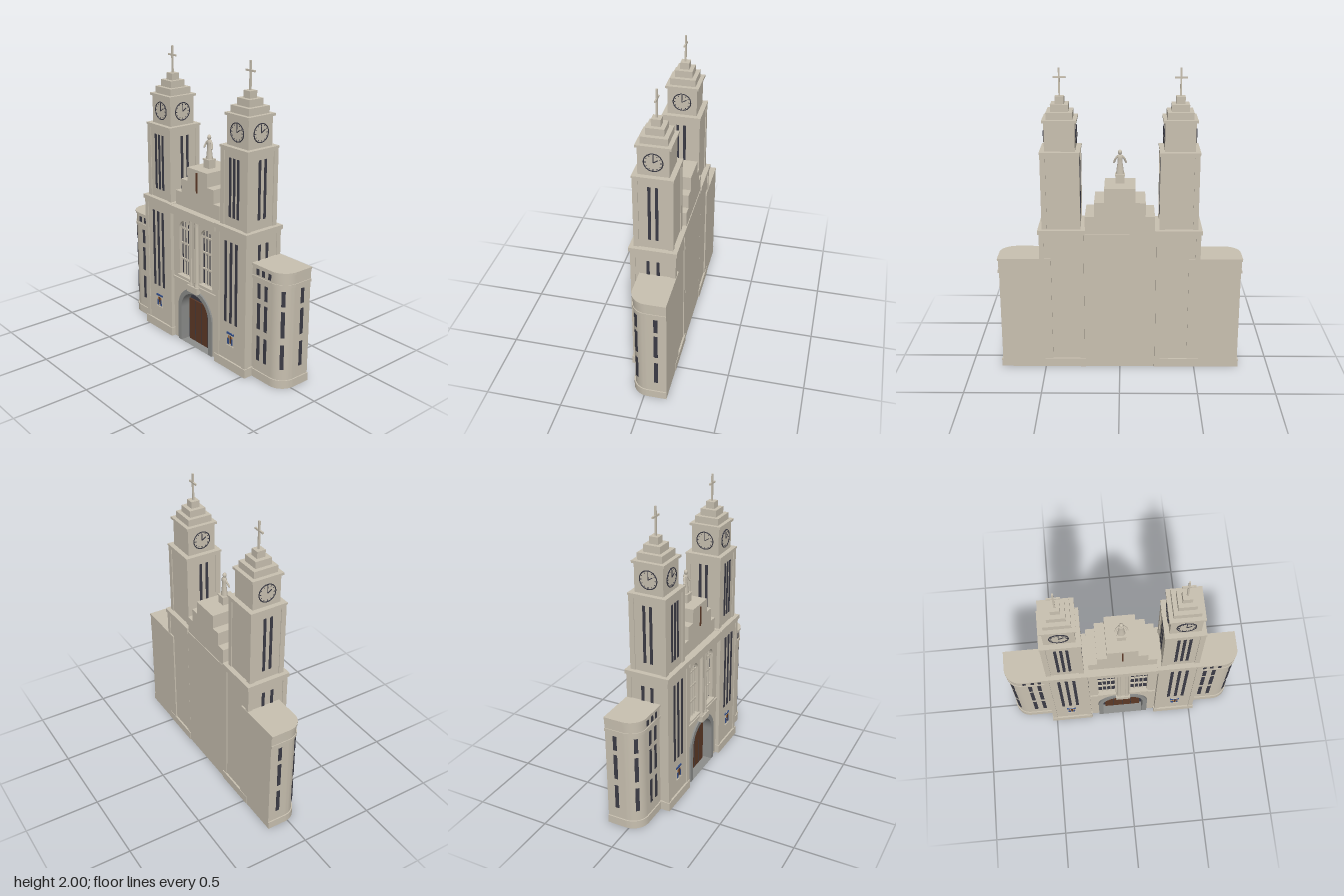
import * as THREE from 'three';
import { toCreasedNormals } from 'three/addons/utils/BufferGeometryUtils.js';

const mat = (name, color) => Object.assign(new THREE.MeshStandardMaterial({ color }), { name });
const stone = mat('stone', 0xc8c0b0), dark = mat('darkGlass', 0x3b3b45), wood = mat('doorWood', 0x5c3826);
const grey = mat('greyStone', 0x8c8d8b), blue = mat('mosaicBlue', 0x34508c), gold = mat('mosaicOchre', 0xa9713f);

function add(parent, name, geo, material, x = 0, y = 0, z = 0) {
  const m = new THREE.Mesh(geo, material);
  m.name = name;
  m.position.set(x, y, z);
  parent.add(m);
  return m;
}
// box given by its centre in x and z, and its bottom and top
const box = (p, name, w, y0, y1, d, x = 0, z = 0, material = stone) =>
  add(p, name, new THREE.BoxGeometry(w, y1 - y0, d), material, x, (y0 + y1) / 2, z);

function group(parent, name, x = 0, y = 0, z = 0, ry = 0) {
  const g = new THREE.Group();
  g.name = name;
  g.position.set(x, y, z);
  g.rotation.y = ry;
  parent.add(g);
  return g;
}
const extrude = (shape, depth) =>
  toCreasedNormals(new THREE.ExtrudeGeometry(shape, { depth, bevelEnabled: false, curveSegments: 20 }), 0.5);

// round-headed outline: half width r, foot y0, springing y1
function arch(path, x, r, y0, y1) {
  path.moveTo(x - r, y0);
  path.lineTo(x + r, y0);
  path.lineTo(x + r, y1);
  path.absarc(x, y1, r, 0, Math.PI, false);
  path.lineTo(x - r, y0);
  return path;
}

// shaft with raised corner strips and a band at the top
function panelledShaft(p, name, w, d, y0, y1, strip) {
  const g = group(p, name);
  box(g, 'shaftCore', w - 0.012, y0, y1, d - 0.012);
  for (const sx of [-1, 1]) for (const sz of [-1, 1])
    box(g, 'cornerStrip', strip, y0, y1, strip, sx * (w - strip) / 2, sz * (d - strip) / 2);
  box(g, 'topBand', w, y1 - 0.02, y1, d);
}

function clock(p) {
  add(p, 'clockFace', new THREE.CylinderGeometry(0.058, 0.058, 0.006, 40).rotateX(Math.PI / 2), stone);
  add(p, 'clockRim', new THREE.TorusGeometry(0.058, 0.0035, 6, 40), dark, 0, 0, 0.003);
  for (let i = 0; i < 12; i++) {
    const a = i * Math.PI / 6, big = i % 3 === 0;
    add(p, 'hourMark', new THREE.BoxGeometry(0.004, big ? 0.011 : 0.006, 0.003), dark,
      Math.sin(a) * 0.048, Math.cos(a) * 0.048, 0.004).rotation.z = -a;
  }
  box(p, 'minuteHand', 0.004, 0, 0.045, 0.003, 0, 0.005, dark);
  add(p, 'hourHand', new THREE.BoxGeometry(0.005, 0.035, 0.003), dark, 0.0145, 0.0095, 0.005).rotation.z = -0.99;
}

function mosaic(p) {
  box(p, 'mosaicPanel', 0.05, 0.17, 0.262, 0.006);
  box(p, 'mosaicTop', 0.066, 0.25, 0.262, 0.009, 0, 0, blue);
  box(p, 'mosaicSill', 0.06, 0.165, 0.172, 0.014);
  box(p, 'mosaicRobe', 0.018, 0.18, 0.222, 0.009, -0.016, 0, blue);
  box(p, 'mosaicShoulder', 0.012, 0.222, 0.242, 0.009, -0.013, 0, gold);
  box(p, 'mosaicFigure', 0.014, 0.19, 0.243, 0.009, 0.004, 0, wood);
  box(p, 'mosaicCloak', 0.011, 0.18, 0.225, 0.009, 0.019, 0, blue);
  box(p, 'mosaicHead', 0.01, 0.226, 0.24, 0.009, 0.018, 0, gold);
}

function tower(p, s) {
  const t = group(p, s > 0 ? 'leftTower' : 'rightTower', s * 0.38);
  box(t, 'plinth', 0.3, 0, 0.06, 0.302);
  panelledShaft(t, 'lowerShaft', 0.288, 0.29, 0.06, 0.95, 0.032);
  box(t, 'lowerCornice', 0.304, 0.95, 0.978, 0.306);
  panelledShaft(t, 'upperShaft', 0.25, 0.25, 0.978, 1.478, 0.034);
  box(t, 'upperCornice', 0.258, 1.474, 1.488, 0.258);
  box(t, 'clockStage', 0.194, 1.488, 1.675, 0.194);
  box(t, 'clockCornice', 0.218, 1.672, 1.688, 0.218);
  [0.166, 0.112, 0.058].forEach((w, i) => box(t, 'roofStep', w, 1.688 + i * 0.045, 1.733 + i * 0.045, w));
  box(t, 'crossPost', 0.011, 1.82, 2, 0.011);
  box(t, 'crossArm', 0.08, 1.934, 1.945, 0.01);
  // front and both flanks carry windows and clocks
  for (const side of [-1, 0, 1]) {
    const f = group(t, 'towerFace', 0, 0, 0, side * Math.PI / 2);
    for (const i of side ? [-0.5, 0.5] : [-1, 0, 1]) {
      box(f, 'lowerWindow', 0.02, 0.33, 0.885, 0.006, i * (side ? 0.064 : 0.05), side ? 0.139 : 0.14, dark);
      box(f, 'upperWindow', 0.018, 1.04, 1.42, 0.006, i * (side ? 0.046 : 0.037), 0.12, dark);
    }
    clock(group(f, 'clock', 0, 1.58, 0.099));
  }
  mosaic(group(t, 'mosaic', 0, 0, 0.141));
}

function wing(p, s) {
  const w = group(p, s > 0 ? 'leftWing' : 'rightWing');
  // plan with a rounded front corner, grown outward by e
  const layer = (name, y0, y1, e) => {
    const pts = [[0.45, 0.148], [0.79 + e, 0.148]];
    for (let i = 0; i <= 12; i++) {
      const a = i / 12 * Math.PI / 2;
      pts.push([0.69 + (0.1 + e) * Math.cos(a), 0.02 - (0.1 + e) * Math.sin(a)]);
    }
    pts.push([0.45, -0.08 - e]);
    const shape = new THREE.Shape(pts.map(([x, y]) => new THREE.Vector2(s * x, y)));
    add(w, name, extrude(shape, y1 - y0).rotateX(-Math.PI / 2), stone, 0, y0, 0);
  };
  layer('wingPlinth', 0, 0.055, 0.008);
  layer('wingWall', 0.055, 0.685, 0);
  layer('wingLedge', 0.685, 0.705, 0.008);
  layer('wingAttic', 0.705, 0.768, 0.003);
  layer('wingCap', 0.768, 0.783, 0.01);
  const d = Math.SQRT1_2 * 0.1;
  // x, z, facing of each window column
  const columns = [[0.577, 0.08, 0], [0.64, 0.08, 0], [0.69 + d, -0.02 + d, Math.PI / 4], [0.79, -0.08, Math.PI / 2]];
  for (const [x, z, a] of columns) {
    const f = group(w, 'windowColumn', s * x, 0, z, s * a);
    for (const [y0, y1] of [[0.13, 0.3], [0.35, 0.525], [0.56, 0.66]]) box(f, 'wingWindow', 0.025, y0, y1, 0.007, 0, 0, dark);
  }
  for (const x of [0.568, 0.616, 0.672]) box(w, 'atticWindow', 0.023, 0.716, 0.755, 0.006, s * x, 0.083, dark);
}

function facade(p) {
  const f = group(p, 'centralFacade');
  box(f, 'facadeBody', 0.47, 0, 0.95, 0.2, 0, -0.045);
  // front wall with a portal notch and two arched window openings
  const wall = new THREE.Shape();
  wall.moveTo(-0.235, 0);
  wall.lineTo(-0.16, 0);
  wall.lineTo(-0.16, 0.245);
  wall.absarc(0, 0.245, 0.16, Math.PI, 0, true);
  for (const [x, y] of [[0.16, 0], [0.235, 0], [0.235, 0.95], [-0.235, 0.95]]) wall.lineTo(x, y);
  for (const s of [-1, 1]) wall.holes.push(arch(new THREE.Path(), s * 0.112, 0.058, 0.49, 0.825));
  add(f, 'frontWall', extrude(wall, 0.065), stone, 0, 0, 0.055);
  box(f, 'stringCourse', 0.46, 0.44, 0.46, 0.02, 0, 0.12);
  box(f, 'facadeCornice', 0.47, 0.92, 0.976, 0.295, 0, 0.007);

  // portal
  const ring = arch(new THREE.Shape(), 0, 0.178, 0, 0.245);
  ring.holes.push(arch(new THREE.Path(), 0, 0.145, 0.0001, 0.245));
  add(f, 'portalArch', extrude(ring, 0.075), grey, 0, 0, 0.057);
  add(f, 'portalRecess', extrude(arch(new THREE.Shape(), 0, 0.15, 0, 0.245), 0.006), dark, 0, 0, 0.055);
  box(f, 'door', 0.256, 0, 0.307, 0.012, 0, 0.066, wood);
  for (const x of [-0.064, 0, 0.064]) box(f, 'doorJoint', 0.004, 0, 0.307, 0.003, x, 0.072, dark);

  // arched windows with glazing bars
  for (const s of [-1, 1]) {
    const w = group(f, 'archedWindow', s * 0.112);
    add(w, 'glass', extrude(arch(new THREE.Shape(), 0, 0.06, 0.485, 0.825), 0.005), dark, 0, 0, 0.09);
    for (const x of [-0.029, 0, 0.029]) box(w, 'mullion', 0.007, 0.49, 0.825 + Math.sqrt(0.058 ** 2 - x * x), 0.012, x, 0.1);
    for (const y of [0.595, 0.71, 0.817]) box(w, 'transom', 0.116, y, y + 0.01, 0.012, 0, 0.1);
    box(w, 'sill', 0.13, 0.478, 0.49, 0.026, 0, 0.122);
  }

  // central pier with paired columns on a corbel
  box(f, 'corbel', 0.1, 0.412, 0.458, 0.04, 0, 0.135);
  box(f, 'pier', 0.03, 0.458, 0.92, 0.028, 0, 0.126);
  const profile = [[0.02, 0], [0.02, 0.012], [0.016, 0.03], [0.014, 0.42], [0.018, 0.445], [0.018, 0.462]];
  for (const s of [-1, 1])
    add(f, 'column', new THREE.LatheGeometry(profile.map(q => new THREE.Vector2(...q)), 20), stone, s * 0.026, 0.458, 0.128);

  // stepped gable
  [[0.45, 0.97, 1.072], [0.33, 1.072, 1.165], [0.2, 1.165, 1.258]].forEach(([w, y0, y1]) =>
    box(f, 'gableStep', w, y0, y1, 0.25, 0, -0.02));
  box(f, 'gableCross', 0.01, 1.105, 1.24, 0.008, 0, 0.107, wood);
}

function statue(p) {
  const g = group(p, 'statue');
  box(g, 'pedestal', 0.056, 1.258, 1.31, 0.054);
  box(g, 'pedestalTop', 0.064, 1.308, 1.318, 0.06);
  const robe = [[0.026, 0], [0.024, 0.02], [0.017, 0.07], [0.017, 0.1], [0.02, 0.118], [0.008, 0.13], [0, 0.132]];
  add(g, 'robe', new THREE.LatheGeometry(robe.map(q => new THREE.Vector2(...q)), 20), stone, 0, 1.318, 0).scale.z = 0.75;
  add(g, 'head', new THREE.SphereGeometry(0.013, 16, 12), stone, 0, 1.46, 0.002).scale.y = 1.25;
  for (const s of [-1, 1]) {
    const path = new THREE.CatmullRomCurve3([[0.012, 1.437, 0], [0.027, 1.42, 0.003], [0.038, 1.393, 0.012]]
      .map(([x, y, z]) => new THREE.Vector3(s * x, y, z)));
    add(g, 'arm', new THREE.TubeGeometry(path, 8, 0.0065, 8), stone);
    add(g, 'hand', new THREE.SphereGeometry(0.0068, 10, 8), stone, s * 0.038, 1.393, 0.012);
  }
}

export function createModel() {
  const model = new THREE.Group();
  model.name = 'twinTowerChurch';
  facade(model);
  statue(model);
  for (const s of [-1, 1]) {
    tower(model, s);
    wing(model, s);
  }
  return model;
}
